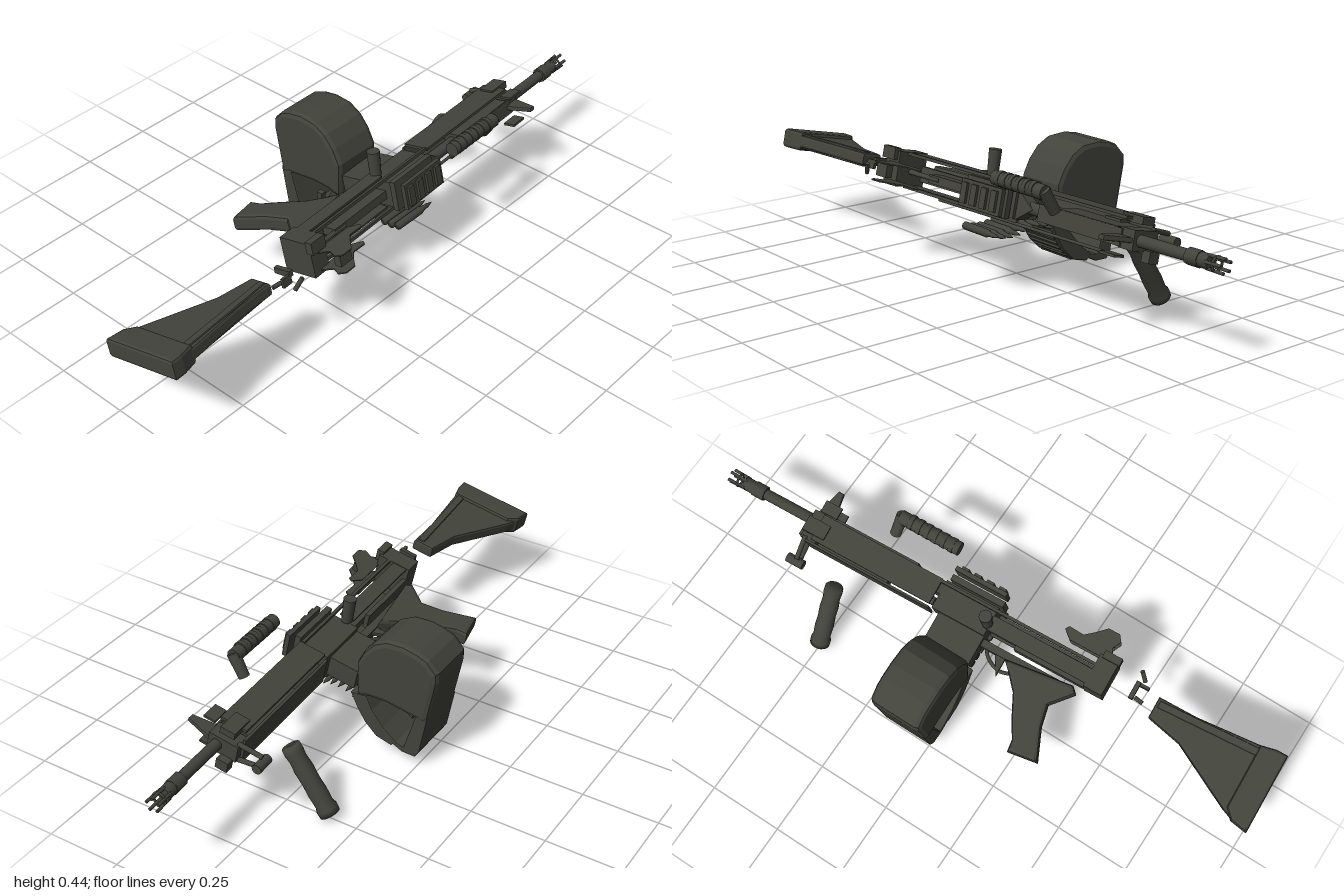
import * as THREE from 'three';

export function createModel() {
  const olive = new THREE.MeshStandardMaterial({ color: 0x42433b, side: THREE.DoubleSide });
  olive.name = 'dark olive metal';
  const root = new THREE.Group();
  root.name = 'modularSupportWeapon';

  // Tilted frame: x runs along the bore, y is the weapon's own up
  const gun = new THREE.Group();
  gun.name = 'weaponBody';
  gun.position.set(0, 0.292, 0.143);
  gun.rotation.set(THREE.MathUtils.degToRad(77), 0.052, 0, 'YXZ');
  root.add(gun);

  const V = (x, y, z) => new THREE.Vector3(x, y, z);
  const add = (parent, name, geo, x = 0, y = 0, z = 0) => {
    const m = new THREE.Mesh(geo, olive);
    m.name = name;
    m.position.set(x, y, z);
    parent.add(m);
    return m;
  };
  // Box given by its limits on each axis
  const box = (name, x0, x1, y0, y1, z0, z1, parent = gun) =>
    add(parent, name, new THREE.BoxGeometry(x1 - x0, y1 - y0, z1 - z0), (x0 + x1) / 2, (y0 + y1) / 2, (z0 + z1) / 2);
  const rod = (name, a, b, r0, r1 = r0, parent = gun, sides = 14) => {
    const m = add(parent, name, new THREE.CylinderGeometry(r1, r0, a.distanceTo(b), sides));
    m.position.copy(a).add(b).multiplyScalar(0.5);
    m.quaternion.setFromUnitVectors(V(0, 1, 0), b.clone().sub(a).normalize());
  };
  const extrude = (pts, depth, bevel) => {
    const g = new THREE.ExtrudeGeometry(new THREE.Shape(pts.map(p => new THREE.Vector2(...p))), {
      depth: depth - 2 * bevel, bevelEnabled: bevel > 0, bevelSize: bevel, bevelThickness: bevel,
      bevelOffset: -bevel, bevelSegments: 2,
    });
    return g.translate(0, 0, bevel - depth / 2);
  };
  const plate = (name, pts, depth, bevel = 0.008, z = 0) => add(gun, name, extrude(pts, depth, bevel), 0, 0, z);

  // Stock
  plate('stock', [[-0.95, -0.2], [-0.9, -0.18], [-0.69, -0.07], [-0.57, -0.044], [-0.57, 0.028], [-0.7, 0.028],
    [-0.9, 0.045], [-0.95, 0.05]], 0.042);
  plate('buttPad', [[-0.998, -0.21], [-0.94, -0.2], [-0.91, -0.17], [-0.91, 0.045], [-0.96, 0.056], [-0.998, 0.056]], 0.066, 0.01);
  for (const s of [-1, 1]) plate('stockRib', [[-0.92, 0.01], [-0.58, -0.005], [-0.58, 0.018], [-0.92, 0.035]], 0.01, 0.003, s * 0.021);

  // Loose hinge pieces behind the receiver
  box('hingePin', -0.5, -0.485, -0.02, 0.04, -0.02, 0.0);
  box('hingePlate', -0.53, -0.495, 0.03, 0.04, -0.01, 0.02);
  rod('hingeSpring', V(-0.505, 0.055, 0.035), V(-0.485, 0.075, 0.0), 0.007);
  rod('hingeStud', V(-0.53, -0.01, 0.03), V(-0.5, -0.005, 0.03), 0.007);

  // Rear receiver block and spaced rails
  box('receiverEndCap', -0.415, -0.35, -0.06, 0.055, -0.065, 0.05);
  box('endCapLip', -0.42, -0.36, 0.045, 0.07, -0.075, -0.035);
  for (const w of [-0.06, 0.048]) {
    box('receiverRail', -0.35, 0.0, -0.05, 0.0, w - 0.003, w + 0.003);
    box('receiverEdge', -0.35, 0.2, 0.012, 0.022, w - 0.005, w + 0.005);
  }
  box('bolt', -0.25, 0, -0.045, 0.005, -0.012, 0.016);
  box('innerPlate', -0.35, -0.1, -0.06, -0.045, -0.022, 0.03);
  rod('returnSpring', V(-0.35, 0, 0), V(-0.2, 0, 0), 0.008);
  rod('sideRod', V(-0.22, -0.03, 0.065), V(0.52, -0.03, 0.065), 0.005);

  // Rear hook-shaped lever: two thin cheeks around a small core
  for (const w of [-0.025, 0.035]) plate('leverCheek', [[-0.39, 0.06], [-0.37, 0.05], [-0.24, 0.05], [-0.21, 0.075],
    [-0.22, 0.088], [-0.27, 0.085], [-0.3, 0.11], [-0.33, 0.14], [-0.37, 0.14], [-0.385, 0.12], [-0.37, 0.09]], 0.004, 0, w);
  box('leverCore', -0.37, -0.32, 0.1, 0.125, -0.025, 0.02);

  // Pistol grip, trigger and guard
  plate('pistolGrip', [[-0.34, -0.335], [-0.24, -0.35], [-0.235, -0.31], [-0.2, -0.25], [-0.165, -0.18], [-0.12, -0.13],
    [-0.09, -0.1], [-0.32, -0.07], [-0.34, -0.09], [-0.28, -0.16], [-0.295, -0.23]], 0.054, 0.012, -0.004);
  const guard = new THREE.CatmullRomCurve3([V(-0.13, -0.13, 0), V(-0.09, -0.14, 0), V(-0.04, -0.12, 0), V(-0.01, -0.08, 0)]);
  add(gun, 'triggerGuard', new THREE.TubeGeometry(guard, 16, 0.006, 8));
  plate('trigger', [[-0.09, -0.08], [-0.04, -0.08], [-0.065, -0.12], [-0.09, -0.16]], 0.014, 0.003);
  box('triggerHousing', -0.32, 0.0, -0.1, -0.075, -0.012, 0.025);

  // Centre receiver, feed tray and feed cover
  box('feedReceiver', 0, 0.19, -0.07, 0.03, -0.045, 0.042);
  box('magazineWell', 0.0, 0.165, -0.17, -0.06, -0.03, 0.04);
  box('feedTray', -0.01, 0.18, 0.035, 0.055, -0.055, 0.045);
  box('feedCover', 0, 0.185, 0.07, 0.085, -0.045, 0.04);
  for (let i = 0; i < 4; i++) box('coverRib', 0.01 + i * 0.045, 0.035 + i * 0.045, 0.085, 0.094, -0.035, 0.03);
  add(gun, 'coverLatch', extrude([[0.19, -0.045], [0.26, 0], [0.19, 0.045]], 0.04, 0).rotateX(-Math.PI / 2));

  // Handguard
  box('handguardCore', 0.36, 0.62, -0.07, 0.035, -0.028, 0.022);
  box('handguardSide', 0.2, 0.64, -0.065, 0.025, -0.062, -0.053);
  box('handguardLower', 0.2, 0.66, -0.078, -0.07, -0.045, 0.045);
  box('handguardTop', 0.3, 0.64, 0.028, 0.036, -0.026, 0.026);

  // Barrel and slotted muzzle
  rod('barrel', V(0.0, 0, 0), V(0.87, 0, 0), 0.02, 0.018);
  rod('gasTube', V(0.2, -0.045, 0), V(0.66, -0.045, 0), 0.014);
  rod('muzzleCollar', V(0.865, 0, 0), V(0.91, 0, 0), 0.025, 0.025, gun, 8);
  rod('muzzleNeck', V(0.91, 0, 0), V(0.945, 0, 0), 0.022);
  for (let i = 0; i < 5; i++) {
    const a = i / 5 * Math.PI * 2;
    rod('muzzleProng', V(0.935, Math.cos(a) * 0.019, Math.sin(a) * 0.019), V(0.998, Math.cos(a) * 0.021, Math.sin(a) * 0.021), 0.005);
  }
  add(gun, 'muzzleRing', new THREE.TorusGeometry(0.021, 0.004, 6, 14), 0.965).rotation.y = Math.PI / 2;

  // Front sight, gas block and folded bracket
  box('gasBlock', 0.63, 0.685, -0.07, 0.03, -0.03, 0.03);
  plate('frontSight', [[0.62, 0.03], [0.68, 0.03], [0.655, 0.12], [0.635, 0.12]], 0.016, 0.004);
  for (const s of [-1, 1]) {
    box('sightEar', 0.6, 0.66, 0.03, 0.07, s * 0.05 - 0.004, s * 0.05 + 0.004);
    rod('bracketArm', V(0.67, -0.06, s * 0.03), V(0.66, -0.14, s * 0.02), 0.008);
  }
  rod('bracketKnob', V(0.635, -0.145, 0), V(0.695, -0.145, 0), 0.016);
  box('gasRegulator', 0.68, 0.71, -0.06, -0.02, 0.025, 0.06);
  box('sideLug', 0.6, 0.68, -0.05, 0.0, -0.068, -0.045);

  // Carrying handle
  const carry = new THREE.Group();
  carry.name = 'carryingHandle';
  root.add(carry);
  rod('handleGrip', V(0.2, 0.4, 0.242), V(0.42, 0.397, 0.234), 0.023, 0.023, carry);
  for (let i = 0; i < 6; i++) rod('gripRing', V(0.22 + i * 0.03, 0.4, 0.241 - i * 0.001), V(0.235 + i * 0.03, 0.4, 0.24 - i * 0.001), 0.025, 0.025, carry);
  rod('handlePost', V(0.415, 0.405, 0.239), V(0.42, 0.335, 0.198), 0.021, 0.018, carry);

  // Charging knob
  rod('chargingKnob', V(0.005, 0.34, 0.1), V(0.005, 0.426, 0.087), 0.018, 0.021, root);

  // Vertical foregrip
  const grip = add(root, 'foregrip', new THREE.LatheGeometry([[0, 0], [0.033, 0], [0.034, 0.02], [0.029, 0.035], [0.031, 0.08],
    [0.029, 0.12], [0.031, 0.16], [0.028, 0.2], [0.031, 0.225], [0.03, 0.245], [0, 0.245]].map(p => new THREE.Vector2(...p)), 18),
    0.5, 0.018, -0.157);
  grip.quaternion.setFromUnitVectors(V(0, 1, 0), V(0.01, 0.2, 0.122).normalize());

  // Box magazine: profile in depth and height, extruded along the bore
  const magPart = (name, pts, depth, bevel) => {
    add(root, name, extrude(pts, depth, bevel), 0.072, 0, 0).rotation.y = Math.PI / 2;
  };
  magPart('magazineBody', [[0.034, 0.195], [0.034, 0.32], [0.06, 0.37], [0.095, 0.41], [0.14, 0.434], [0.2, 0.438], [0.25, 0.428],
    [0.285, 0.413], [0.318, 0.376], [0.318, 0.34], [0.284, 0.175], [0.25, 0.188], [0.14, 0.206], [0.08, 0.205]], 0.182, 0.018);
  magPart('magazineBackWall', [[0.248, 0.2], [0.288, 0.2], [0.262, 0.066], [0.246, 0.04], [0.2, 0.041], [0.16, 0.06],
    [0.165, 0.072], [0.205, 0.062]], 0.176, 0.004);
  magPart('magazineFrontEdge', [[0.012, 0.2], [0.07, 0.205], [0.09, 0.16], [0.13, 0.11], [0.178, 0.07], [0.16, 0.05],
    [0.105, 0.064], [0.064, 0.103], [0.036, 0.148]], 0.176, 0.004);
  box('magazinePillar', 0.02, 0.04, 0.065, 0.135, -0.166, -0.145, root);

  // Ribs down the curved front of the magazine
  const ribPath = new THREE.CatmullRomCurve3([V(0, 0.185, -0.022), V(0, 0.148, -0.037), V(0, 0.103, -0.065), V(0, 0.066, -0.106)]);
  for (let i = 0; i < 8; i++) {
    const p = ribPath.getPointAt(i / 7);
    rod('magazineRib', V(0, p.y, p.z), V(0.145, p.y, p.z), 0.005, 0.005, root, 8);
  }

  // Cartridge belt hanging between the feed tray and the magazine
  const belt = new THREE.CatmullRomCurve3([[0.2, 0.197], [0.16, 0.187], [0.11, 0.19], [0.06, 0.203], [0.01, 0.199], [-0.02, 0.185]]
    .map(([z, y]) => V(0, y, z)));
  const round = new THREE.LatheGeometry([[0, 0], [0.013, 0], [0.013, 0.11], [0.008, 0.125], [0.007, 0.145], [0, 0.17]]
    .map(p => new THREE.Vector2(...p)), 10).rotateZ(-Math.PI / 2);
  for (let i = 0; i <= 8; i++) {
    const p = belt.getPointAt(i / 8);
    add(root, 'cartridge', round, -0.005, p.y, p.z);
    box('beltLink', 0.045, 0.075, p.y - 0.008, p.y + 0.008, p.z - 0.01, p.z + 0.01, root);
  }
  return root;
}
